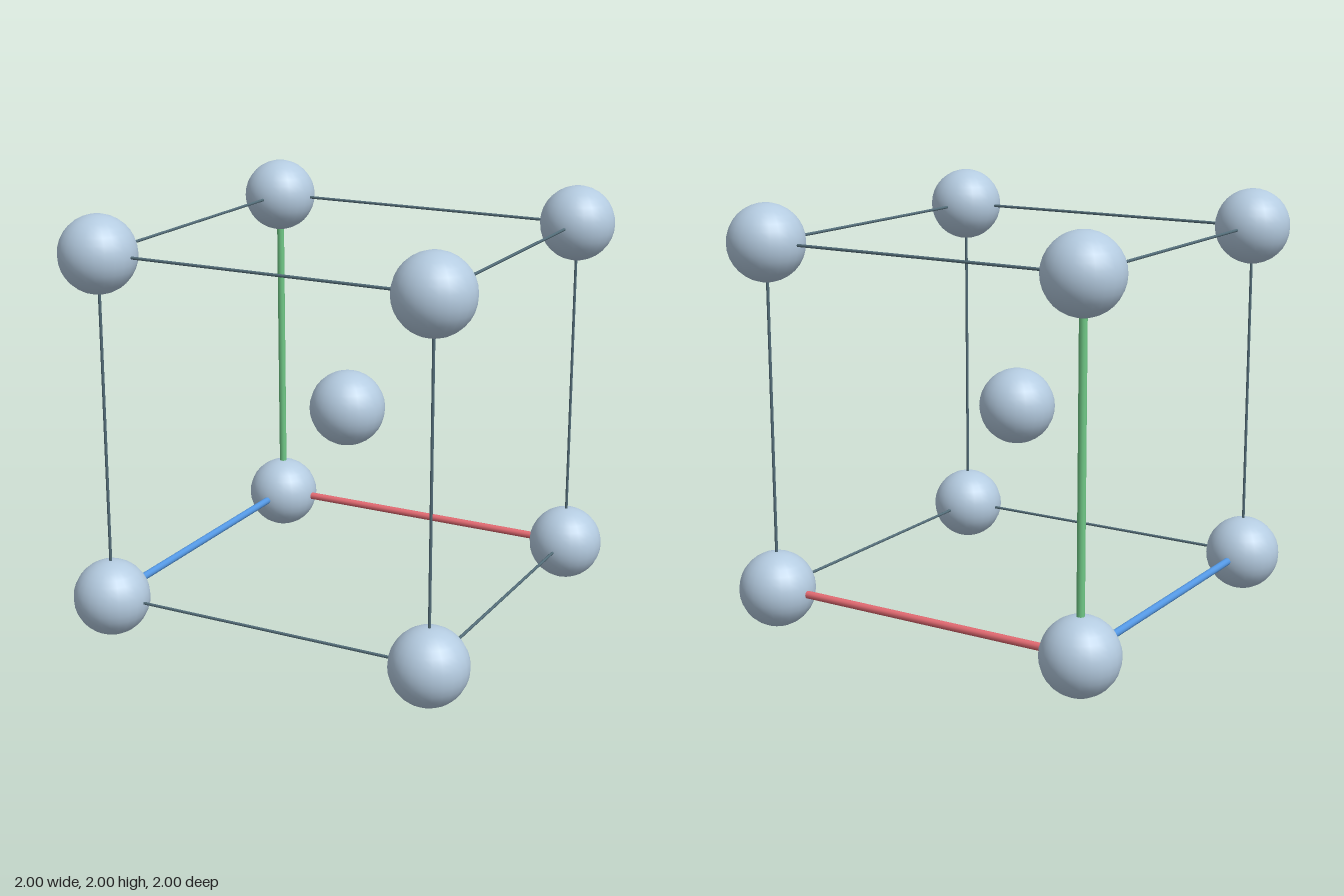
import * as THREE from 'three';

const HALF = 0.82;      // half the cell edge
const RADIUS = 0.18;    // atom radius
const ROD = 0.018;      // coloured axis rod radius
const WIRE = 0.007;     // plain cell edge radius

const material = (name, color) => {
  const m = new THREE.MeshStandardMaterial({ color });
  m.name = name;
  return m;
};

export function createModel() {
  const group = new THREE.Group();
  group.name = 'bodyCentredCubicCell';

  const atomBlue = material('atom grey blue', 0xb4cbe0);
  const edgeSlate = material('edge slate', 0x546e7a);
  const axisMaterials = [
    material('axis red', 0xe56b73),
    material('axis green', 0x70c886),
    material('axis blue', 0x5498e4),
  ];

  // Atoms: eight corners and the body centre
  const atomGeometry = new THREE.SphereGeometry(RADIUS, 24, 16);
  const addAtom = (name, x, y, z) => {
    const atom = new THREE.Mesh(atomGeometry, atomBlue);
    atom.name = name;
    atom.position.set(x, y + 1, z);
    group.add(atom);
  };
  for (const x of [-HALF, HALF])
    for (const y of [-HALF, HALF])
      for (const z of [-HALF, HALF]) addAtom('cornerAtom', x, y, z);
  addAtom('centreAtom', 0, 0, 0);

  // Edges: four per axis; those meeting at the right back bottom corner are coloured rods
  const wireGeometry = new THREE.CylinderGeometry(WIRE, WIRE, 2 * HALF, 8);
  const rodGeometry = new THREE.CylinderGeometry(ROD, ROD, 2 * HALF, 12);
  const up = new THREE.Vector3(0, 1, 0);
  ['x', 'y', 'z'].forEach((axis, i) => {
    const direction = new THREE.Vector3().setComponent(i, 1);
    for (const a of [-HALF, HALF])
      for (const b of [-HALF, HALF]) {
        const isAxis = a < 0 && b < 0;
        const edge = new THREE.Mesh(
          isAxis ? rodGeometry : wireGeometry,
          isAxis ? axisMaterials[i] : edgeSlate
        );
        edge.name = isAxis ? `${axis}AxisRod` : `${axis}CellEdge`;
        edge.position.setComponent((i + 1) % 3, a).setComponent((i + 2) % 3, b);
        edge.position.y += 1;
        edge.quaternion.setFromUnitVectors(up, direction);
        group.add(edge);
      }
  });

  return group;
}
